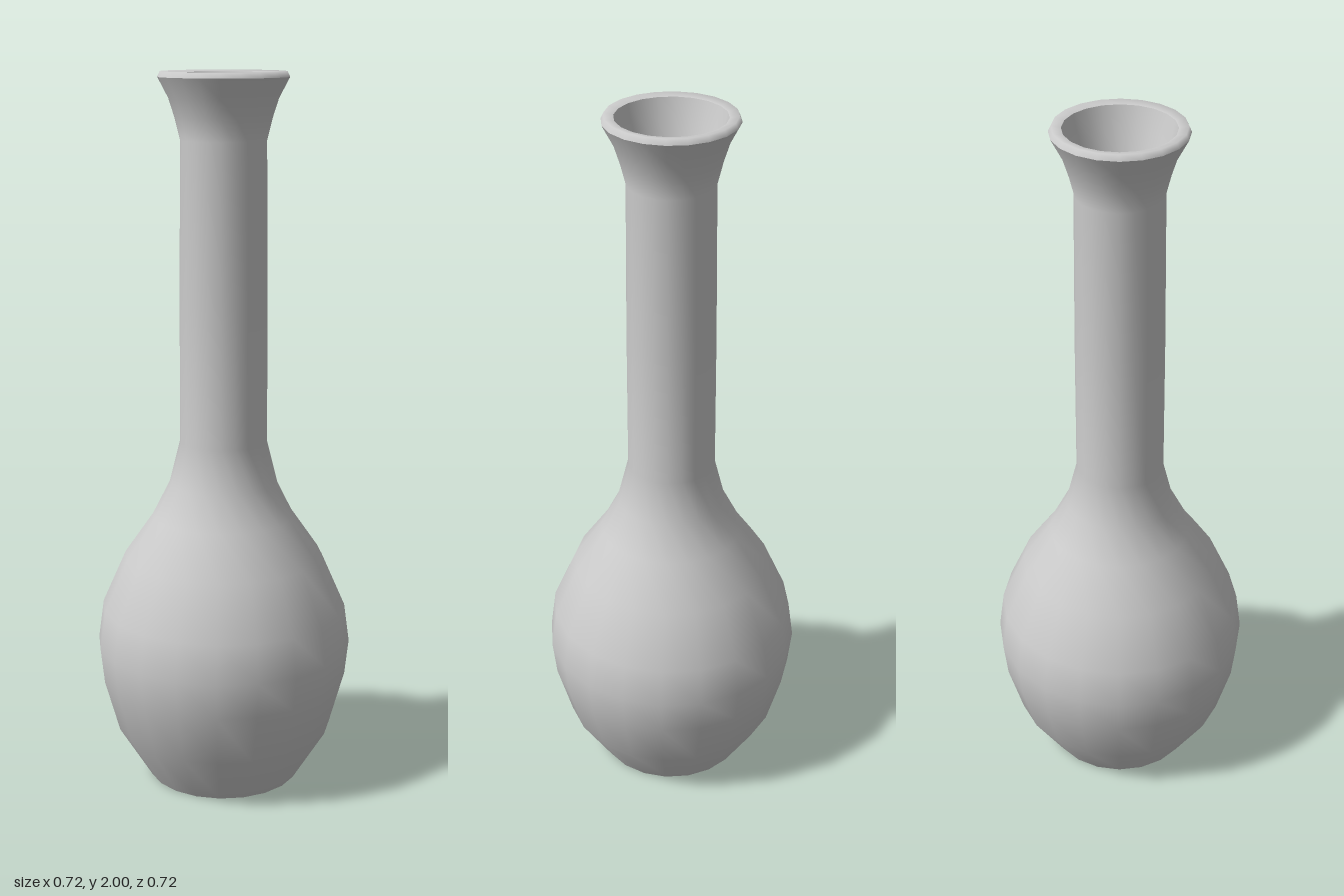
import * as THREE from 'three';

const SIDES = 20;
const WALL = 0.02;

export function createModel() {
  const vase = new THREE.Group();
  vase.name = 'vase';
  const material = new THREE.MeshStandardMaterial({ color: 0xcccccc });

  // Each section is its own lathe, so edges between sections stay sharp
  const turn = (name, profile) => {
    const points = profile.map(([r, y]) => new THREE.Vector2(r, y));
    const mesh = new THREE.Mesh(new THREE.LatheGeometry(points, SIDES), material);
    mesh.name = name;
    vase.add(mesh);
  };

  // Outer wall: bulb, shoulder, long neck and flared lip
  const outer = [
    [0.215, 0], [0.308, 0.15], [0.35, 0.3], [0.361, 0.4], [0.346, 0.51],
    [0.28, 0.66], [0.2, 0.775], [0.152, 0.87], [0.122, 0.99], [0.121, 1.38],
    [0.117, 1.82], [0.132, 1.88], [0.148, 1.93], [0.177, 1.985],
  ];
  turn('outerWall', outer);

  // Rim with a small bevel outside
  turn('rim', [[0.177, 1.985], [0.17, 2], [0.145, 1.995]]);

  // Inner wall follows the outer one, from the mouth down to the floor
  const inner = outer.slice(1, -1).map(([r, y]) => [r - WALL, y]).reverse();
  turn('innerWall', [[0.145, 1.995], ...inner, [0.205, 0.03]]);

  // Floor inside and flat base underneath
  turn('innerFloor', [[0.205, 0.03], [0, 0.03]]);
  turn('base', [[0, 0], [0.215, 0]]);

  return vase;
}
